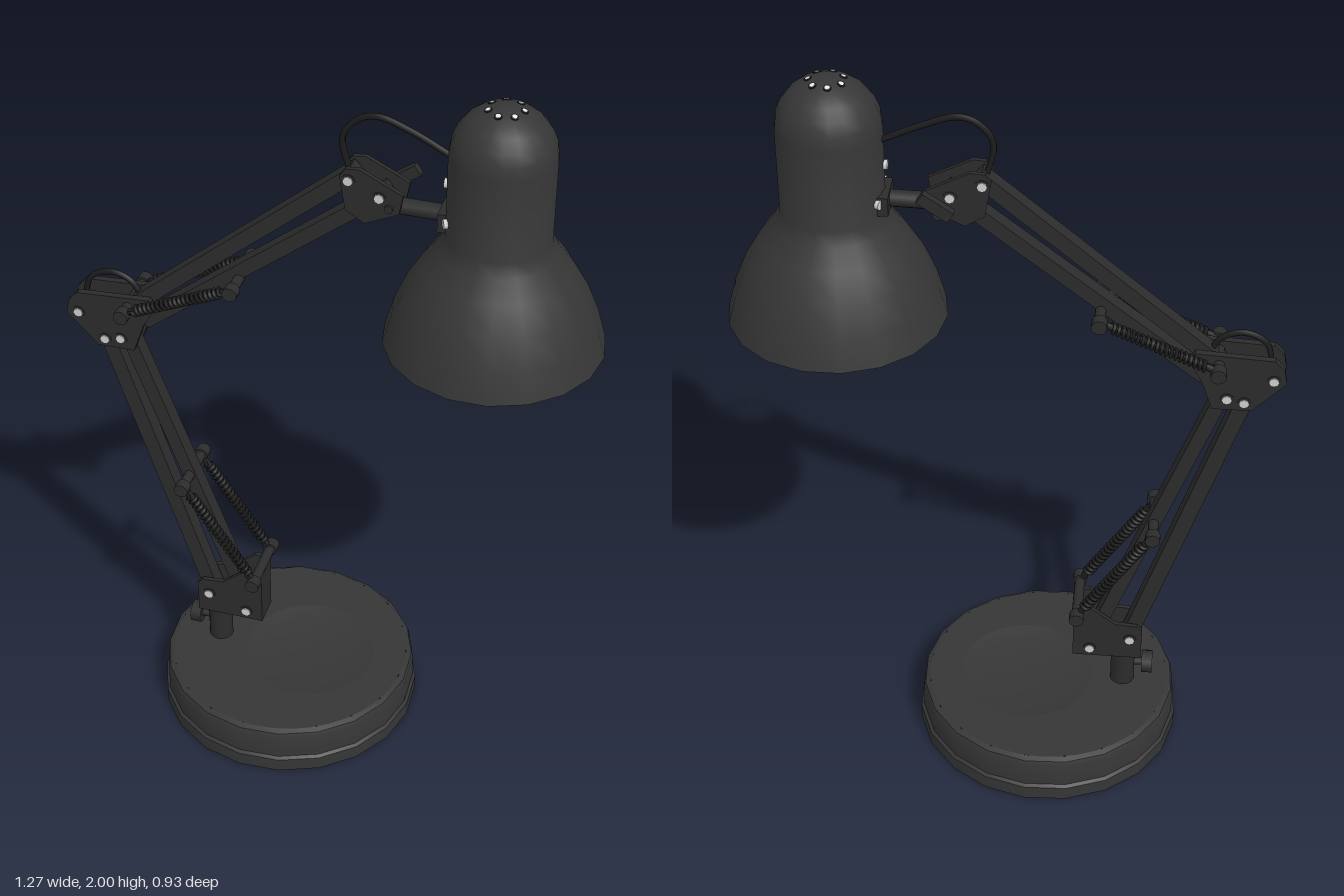
import * as THREE from 'three';
import { toCreasedNormals } from 'three/addons/utils/BufferGeometryUtils.js';

const mat = (name, color) => {
  const m = new THREE.MeshStandardMaterial({ color });
  m.name = name;
  return m;
};

export function createModel() {
  const black = mat('blackEnamel', 0x363636);
  const dark = mat('darkMetal', 0x2c2c2c);
  const coil = mat('springBlack', 0x1c1c1c);
  const silver = mat('screwSilver', 0xd0d0d0);
  const white = mat('whiteLining', 0xe6e6e6);
  const glass = mat('bulbGlass', 0xe2e2e2);

  // The whole lamp lies along one vertical plane: local x runs along the arm, z across it
  const lamp = new THREE.Group();
  lamp.name = 'deskLamp';
  const turn = Math.PI / 6;
  const v3 = (x, y, z = 0) => new THREE.Vector3(x, y, z);

  function add(name, geo, material, x = 0, y = 0, z = 0, parent = lamp) {
    const mesh = new THREE.Mesh(geo, material);
    mesh.name = name;
    mesh.position.set(x, y, z);
    parent.add(mesh);
    return mesh;
  }
  // Turned part whose facets line up with the model's own axes
  const lathe = (pts, sides, crease = 0.6) => toCreasedNormals(
    new THREE.LatheGeometry(pts.map(p => new THREE.Vector2(p[0], p[1])), sides), crease).rotateY(turn);
  // Cylinder across the arm (along z)
  function pin(name, x, y, r, length, material, z = 0, sides = 12) {
    add(name, new THREE.CylinderGeometry(r, r, length, sides).rotateX(Math.PI / 2), material, x, y, z);
  }
  // Cylinder between two points
  function rod(name, a, b, r, material, sides = 10, parent = lamp) {
    const d = b.clone().sub(a);
    const mesh = add(name, new THREE.CylinderGeometry(r, r, d.length(), sides), material, 0, 0, 0, parent);
    mesh.position.copy(a).addScaledVector(d, 0.5);
    mesh.quaternion.setFromUnitVectors(v3(0, 1, 0), d.normalize());
  }
  // Square bar between two points in the arm plane
  function bar(name, [x1, y1], [x2, y2], width, depth) {
    const mesh = add(name, new THREE.BoxGeometry(Math.hypot(x2 - x1, y2 - y1) + width, width, depth),
      dark, (x1 + x2) / 2, (y1 + y2) / 2);
    mesh.rotation.z = Math.atan2(y2 - y1, x2 - x1);
  }
  // Pair of flat side plates
  function plates(name, outline, offset, thick) {
    const shape = new THREE.Shape(outline.map(p => new THREE.Vector2(p[0], p[1])));
    for (const s of [-1, 1])
      add(name, new THREE.ExtrudeGeometry(shape, { depth: thick, bevelEnabled: false }),
        dark, 0, 0, s * offset - thick / 2);
  }
  // Spacer with a silver screw head on each side
  function screw(x, y, half) {
    pin('jointSpacer', x, y, 0.016, half * 2, dark);
    for (const s of [-1, 1]) {
      pin('screwCollar', x, y, 0.018, 0.004, dark, s * half);
      pin('screwHead', x, y, 0.013, 0.006, silver, s * (half + 0.002), 8);
    }
  }
  // Spring peg with thick ends
  function peg(x, y) {
    pin('springPeg', x, y, 0.014, 0.19, dark);
    for (const s of [-1, 1]) pin('pegEnd', x, y, 0.02, 0.03, dark, s * 0.083);
  }
  function tube(name, pts, r, material) {
    add(name, new THREE.TubeGeometry(new THREE.CatmullRomCurve3(pts), 28, r, 6), material);
  }
  // Coil spring with straight hooks at both ends
  function spring(a, b) {
    const axis = b.clone().sub(a).normalize();
    const side = v3(0, 0, 1), up = axis.clone().cross(side);
    const turns = 20, steps = turns * 8, pts = [a];
    for (let i = 0; i <= steps; i++) {
      const t = i / steps * turns * Math.PI * 2;
      pts.push(a.clone().lerp(b, 0.1 + 0.8 * i / steps)
        .addScaledVector(side, 0.012 * Math.cos(t)).addScaledVector(up, 0.012 * Math.sin(t)));
    }
    pts.push(b);
    add('coilSpring', new THREE.TubeGeometry(new THREE.CatmullRomCurve3(pts), steps * 2, 0.005, 5), coil);
    rod('springCore', a, b, 0.009, coil, 6);
  }

  // Round base with an off-centre shallow dish
  const baseX = -0.126, dishX = -0.066, topY = 0.137;
  add('base', lathe([[0, 0], [0.363, 0], [0.363, 0.04], [0.355, 0.047], [0.355, 0.118],
    [0.35, 0.13], [0.335, topY]], 20), black, baseX);
  const top = new THREE.Shape().absarc(0, 0, 0.335, 0, Math.PI * 2);
  top.holes.push(new THREE.Path().absarc(dishX - baseX, 0, 0.18, 0, Math.PI * 2, true));
  add('baseTop', new THREE.ShapeGeometry(top, 20).rotateX(-Math.PI / 2), black, baseX, topY);
  add('baseDish', lathe([[0.184, 0.001], [0.14, -0.01], [0, -0.01]], 40), black, dishX, topY);

  // Post and clamp knob
  add('post', new THREE.CylinderGeometry(0.034, 0.034, 0.17, 14), dark, -0.335, 0.21);
  rod('knobStem', v3(-0.335, 0.2), v3(-0.4, 0.2), 0.012, dark);
  rod('clampKnob', v3(-0.388, 0.2), v3(-0.418, 0.2), 0.032, dark, 10);

  // Lower bracket
  plates('lowerBracket', [[-0.385, 0.25], [-0.195, 0.25], [-0.195, 0.43], [-0.235, 0.43],
    [-0.31, 0.37], [-0.37, 0.365], [-0.385, 0.35]], 0.036, 0.012);
  add('bracketFloor', new THREE.BoxGeometry(0.19, 0.012, 0.07), dark, -0.29, 0.256);
  add('bracketEnd', new THREE.BoxGeometry(0.012, 0.18, 0.07), dark, -0.201, 0.34);
  screw(-0.352, 0.317, 0.043);
  screw(-0.242, 0.277, 0.043);

  // Lower and upper parallel arms
  bar('lowerArm', [-0.352, 0.317], [-0.617, 1.16], 0.042, 0.044);
  bar('lowerArm', [-0.242, 0.277], [-0.56, 1.17], 0.038, 0.044);
  bar('upperArm', [-0.53, 1.265], [0.05, 1.75], 0.04, 0.044);
  bar('upperArm', [-0.49, 1.225], [0.13, 1.71], 0.038, 0.044);

  // Elbow
  plates('elbowPlate', [[-0.63, 1.132], [-0.53, 1.132], [-0.5, 1.215], [-0.465, 1.275], [-0.48, 1.3],
    [-0.545, 1.296], [-0.68, 1.288], [-0.705, 1.262], [-0.713, 1.22]], 0.034, 0.018);
  screw(-0.68, 1.227, 0.043);
  screw(-0.61, 1.155, 0.043);
  screw(-0.566, 1.164, 0.043);
  tube('elbowCable', [v3(-0.675, 1.25), v3(-0.655, 1.315), v3(-0.6, 1.342), v3(-0.545, 1.325),
    v3(-0.51, 1.27)], 0.008, coil);

  // Pegs and springs
  const springEnds = [[[-0.4, 0.725], [-0.205, 0.425]], [[-0.54, 1.27], [-0.24, 1.4]]];
  for (const [a, b] of springEnds) {
    peg(...a);
    peg(...b);
    for (const s of [-1, 1]) spring(v3(a[0], a[1], s * 0.073), v3(b[0], b[1], s * 0.073));
  }

  // Head joint, wing knob and stem to the shade
  plates('headPlate', [[0.03, 1.76], [0.045, 1.667], [0.094, 1.637], [0.18, 1.677], [0.19, 1.73],
    [0.08, 1.785], [0.045, 1.782]], 0.032, 0.012);
  screw(0.052, 1.75, 0.038);
  screw(0.13, 1.714, 0.038);
  pin('headKnobStem', 0.155, 1.69, 0.011, 0.13, dark, -0.02);
  const wing = add('wingKnob', new THREE.BoxGeometry(0.09, 0.03, 0.022), dark, 0.16, 1.715, -0.08);
  wing.rotation.z = 0.6;
  rod('shadeStem', v3(0.13, 1.68), v3(0.31, 1.682, 0.005), 0.022, dark);
  add('shadeMount', new THREE.BoxGeometry(0.03, 0.05, 0.1), dark, 0.294, 1.682, 0.006);
  tube('headCable', [v3(0.05, 1.74), v3(0.028, 1.85), v3(0.065, 1.9), v3(0.113, 1.915),
    v3(0.193, 1.89), v3(0.31, 1.835, 0.006)], 0.008, coil);

  // Shade with pale lining
  const head = new THREE.Group();
  head.name = 'lampHead';
  head.position.set(0.423, 0, 0.011);
  lamp.add(head);
  const put = (name, geo, material, y = 0) => add(name, geo, material, 0, y, 0, head);
  const profile = [[0.279, 1.342], [0.257, 1.42], [0.224, 1.5], [0.185, 1.565], [0.147, 1.615],
    [0.131, 1.65], [0.131, 1.87]];
  for (let i = 1; i <= 6; i++) {
    const a = i / 6 * Math.PI / 2;
    profile.push([i === 6 ? 0 : 0.131 * Math.cos(a), 1.87 + 0.13 * Math.sin(a)]);
  }
  put('shade', lathe(profile, 18, 0.8), black);
  const lining = profile.map(([r, y]) => [Math.max(0, r - 0.007), y > 1.8 ? y - 0.007 : y]).reverse();
  put('shadeLining', lathe(lining, 18, 0.8), white);
  put('shadeRim', lathe([[0.272, 1.342], [0.279, 1.342]], 18), black);

  // Ring of vents on the crown, each a dark collar around a pale centre
  for (let i = 0; i < 7; i++) {
    const a = i / 7 * Math.PI * 2;
    const out = v3(0.33 * Math.cos(a), 0.944, 0.33 * Math.sin(a));
    const at = d => out.clone().multiplyScalar(d).add(v3(0, 1.87));
    rod('ventCollar', at(0.122), at(0.131), 0.01, coil, 10, head);
    rod('ventCentre', at(0.122), at(0.132), 0.0065, white, 8, head);
  }
  // Screws on the back of the shade neck
  for (const [angle, y] of [[-0.43, 1.69], [0.43, 1.69], [0, 1.77]]) {
    const at = r => v3(-r * Math.cos(angle), y, r * Math.sin(angle));
    rod('shadeScrew', at(0.125), at(0.139), 0.013, silver, 8, head);
  }

  // Bulb and socket
  const bulb = [];
  for (let i = 0; i <= 10; i++) {
    const a = -Math.PI / 2 + i / 10 * Math.PI * 0.62;
    bulb.push([i ? 0.113 * Math.cos(a) : 0, 1.342 + 0.113 * Math.sin(a)]);
  }
  bulb.push([0.085, 1.45], [0.064, 1.52], [0.054, 1.58]);
  put('bulb', lathe(bulb, 20, 0.9), glass);
  put('socket', new THREE.CylinderGeometry(0.056, 0.056, 0.22, 14), white, 1.68);

  lamp.rotation.y = -turn;
  lamp.position.z = -0.038;
  const model = new THREE.Group();
  model.name = 'lampModel';
  model.add(lamp);
  return model;
}
